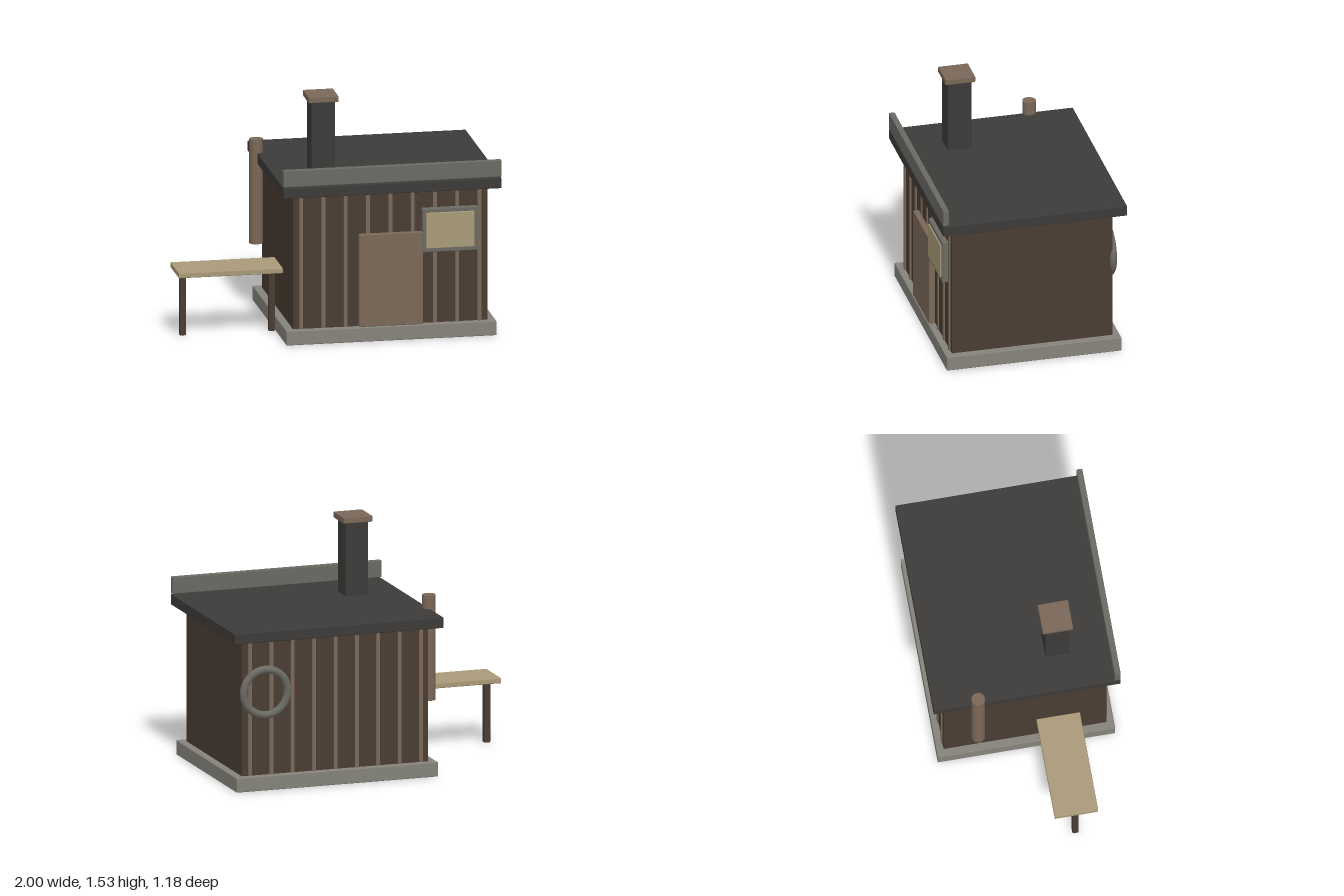
import * as THREE from 'three';
import { RoundedBoxGeometry } from 'three/addons/geometries/RoundedBoxGeometry.js';

const mat = (color) => new THREE.MeshStandardMaterial({ color });

export function createModel() {
  const root = new THREE.Group();
  const wood = mat(0x4a3d32), plank = mat(0x7a6858), stone = mat(0x85837a);
  const slate = mat(0x6b6963), roofing = mat(0x3c3b39), cream = mat(0xa99a78);

  const add = (name, geometry, material, x, y, z, parent = root) => {
    const mesh = new THREE.Mesh(geometry, material);
    mesh.name = name;
    mesh.position.set(x, y, z);
    parent.add(mesh);
    return mesh;
  };

  // Box with softly bevelled edges, given by its extents on each axis
  const block = (name, material, [x0, x1], [y0, y1], [z0, z1], parent = root, bevel = 0.005) =>
    add(name, new RoundedBoxGeometry(x1 - x0, y1 - y0, z1 - z0, 1, bevel), material,
      (x0 + x1) / 2, (y0 + y1) / 2, (z0 + z1) / 2, parent);

  // Hut body
  block('foundation', stone, [-0.36, 0.97], [0, 0.092], [-0.56, 0.56]);
  block('walls', wood, [-0.31, 0.92], [0.085, 0.955], [-0.515, 0.515]);
  block('roof', roofing, [-0.385, 0.995], [0.952, 1.02], [-0.59, 0.59]);
  block('roofParapet', slate, [-0.385, 0.995], [1.025, 1.132], [0.552, 0.59]);

  // Vertical battens on the front and back walls
  const battens = new THREE.Group();
  battens.name = 'battens';
  root.add(battens);
  for (const side of [1, -1]) {
    for (let i = 0; i < 9; i++) {
      const x = -0.26 + i * 0.141;
      add('batten', new THREE.BoxGeometry(0.024, 0.85, 0.016), plank, x, 0.515, side * 0.515, battens);
    }
  }

  // Door and window
  block('door', plank, [0.1, 0.505], [0.095, 0.687], [0.518, 0.557]);
  block('windowFrame', slate, [0.5, 0.85], [0.555, 0.835], [0.518, 0.56]);
  block('windowPane', cream, [0.522, 0.828], [0.58, 0.81], [0.53, 0.568]);

  // Chimney
  block('chimney', roofing, [-0.155, -0.005], [1.01, 1.49], [0.155, 0.307]);
  block('chimneyCap', plank, [-0.175, 0.015], [1.487, 1.526], [0.135, 0.327]);

  // Round post beside the roof edge
  add('post', new THREE.CylinderGeometry(0.043, 0.043, 0.67, 12), plank, -0.386, 0.77, -0.31);

  // Side bench with a single leg at each end
  const bench = new THREE.Group();
  bench.name = 'bench';
  root.add(bench);
  block('benchSeat', cream, [-1, -0.34], [0.407, 0.441], [0.065, 0.34], bench);
  for (const x of [-0.95, -0.387]) {
    block('benchLeg', wood, [x - 0.02, x + 0.02], [0.007, 0.41], [0.182, 0.222], bench);
  }

  // Ring hung on the back wall
  add('wallRing', new THREE.TorusGeometry(0.145, 0.025, 10, 32), slate, 0.765, 0.618, -0.52);

  return root;
}
